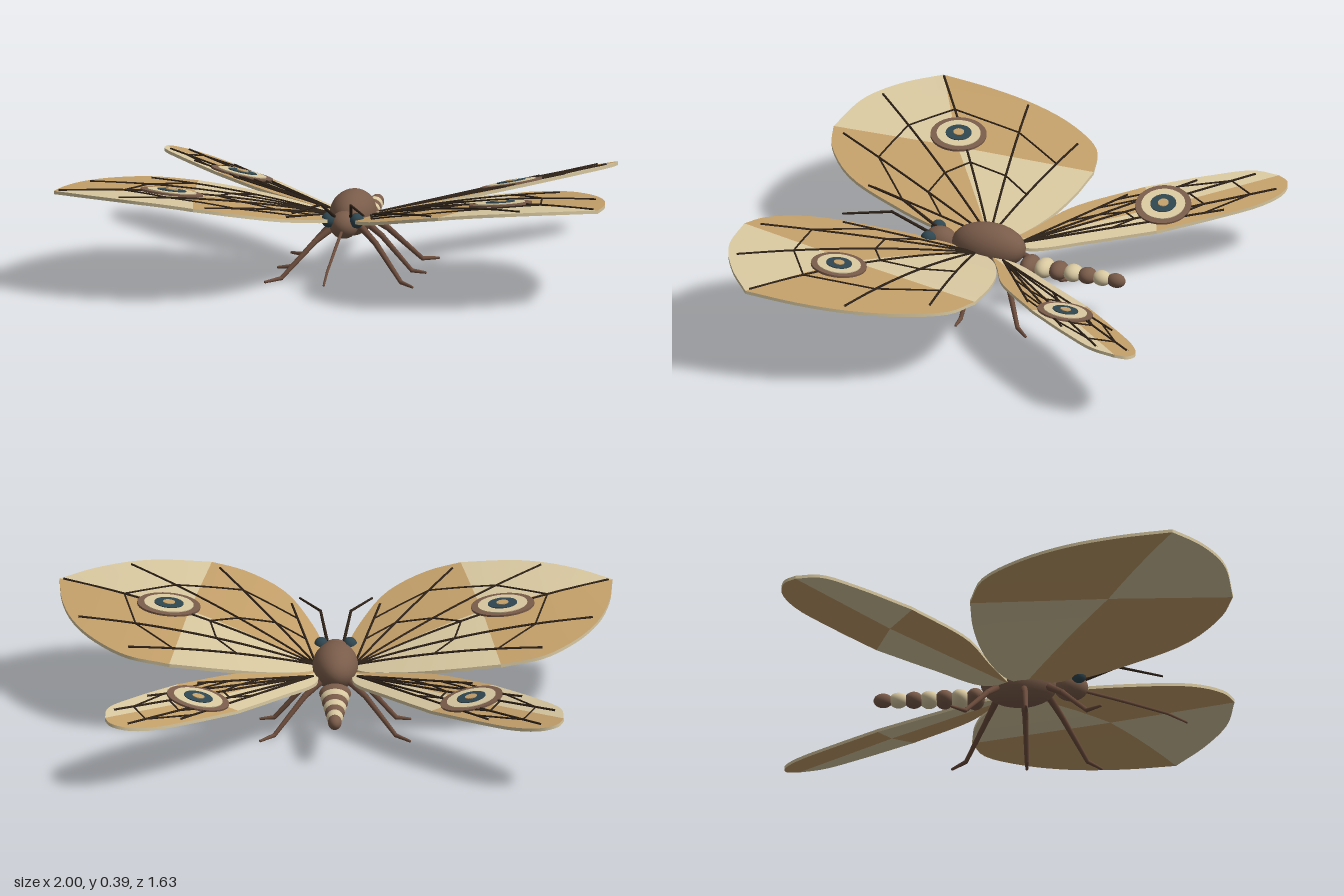
import * as THREE from 'three';

const mat = (color, side = THREE.FrontSide) => new THREE.MeshStandardMaterial({ color, side });
const V = (x, y, z) => new THREE.Vector3(x, y, z);

export function createModel() {
  const model = new THREE.Group();
  const brown = mat(0x7a5c4a), cream = mat(0xd8c8a0), dark = mat(0x2e2218), blue = mat(0x2f4650);
  const legBrown = mat(0x6b4c3c), tan = mat(0xc4a06a);
  const wingTan = mat(0xc4a06a, THREE.DoubleSide), wingCream = mat(0xd8c8a0, THREE.DoubleSide);

  const add = (parent, name, geometry, material) => {
    const mesh = new THREE.Mesh(geometry, material);
    mesh.name = name;
    parent.add(mesh);
    return mesh;
  };
  const ball = (parent, name, material, pos, size) => {
    const mesh = add(parent, name, new THREE.SphereGeometry(1, 24, 16), material);
    mesh.position.set(...pos);
    mesh.scale.set(...size);
    return mesh;
  };
  // Tapered rods joined by small balls
  const limb = (name, points, radii, material) => {
    const group = new THREE.Group();
    group.name = name;
    model.add(group);
    for (let i = 0; i < points.length - 1; i++) {
      const a = V(...points[i]), b = V(...points[i + 1]), d = b.clone().sub(a);
      const rod = add(group, 'segment', new THREE.CylinderGeometry(radii[i + 1], radii[i], d.length(), 8), material);
      rod.position.copy(a).add(b).multiplyScalar(0.5);
      rod.quaternion.setFromUnitVectors(V(0, 1, 0), d.normalize());
      const r = radii[i + 1];
      ball(group, 'joint', material, points[i + 1], [r, r, r]);
    }
  };
  // Surface from rows of points
  const grid = (rows, flip) => {
    const n = rows[0].length, index = [];
    for (let i = 0; i < rows.length - 1; i++) for (let j = 0; j < n - 1; j++) {
      const a = i * n + j, b = a + 1, c = a + n, d = c + 1;
      index.push(...(flip ? [a, b, c, b, d, c] : [a, c, b, b, c, d]));
    }
    const g = new THREE.BufferGeometry().setFromPoints(rows.flat());
    g.setIndex(index);
    g.computeVertexNormals();
    return g;
  };

  // Body
  ball(model, 'thorax', brown, [0, 0.215, 0.035], [0.083, 0.083, 0.14]);
  ball(model, 'head', brown, [0, 0.205, 0.222], [0.052, 0.05, 0.062]);
  for (let i = 0; i < 7; i++) {
    const r = 0.058 - i * 0.0055;
    ball(model, 'abdomenSegment', i % 2 ? cream : brown, [0, 0.16 - i * 0.001, -0.125 - i * 0.0555],
      [r, 0.036 - i * 0.0015, 0.035]);
  }
  limb('proboscis', [[0, 0.19, 0.27], [0, 0.15, 0.41], [0, 0.1, 0.57], [0, 0.065, 0.64]],
    [0.006, 0.006, 0.005, 0.004], legBrown);

  // Eyes, antennae and legs on both sides
  for (const s of [1, -1]) {
    ball(model, 'eye', blue, [s * 0.052, 0.228, 0.25], [0.026, 0.028, 0.028]);
    limb('antenna', [[s * 0.03, 0.24, 0.25], [s * 0.055, 0.312, 0.39], [s * 0.13, 0.31, 0.55]],
      [0.006, 0.005, 0.004], dark);
    for (const [hip, knee, foot, toe] of [[0.14, 0.19, 0.28, 0.33], [0.05, 0.056, 0.06, 0.06], [-0.04, -0.08, -0.16, -0.21]])
      limb('leg', [[s * 0.04, 0.19, hip], [s * 0.11, 0.135, knee], [s * 0.22, 0.012, foot], [s * 0.27, 0.006, toe]],
        [0.014, 0.011, 0.008, 0.005], legBrown);
  }

  // Wings: outline in four quarters around a centre, with a height rule
  const wings = [
    {
      name: 'frontWing', center: [0.53, 0.36], root: [0.07, 0.06], spot: [0.604, 0.385],
      height: (x, z) => 0.185 + 0.25 * x + 0.13 * z - 0.124 * x * x - 0.032 * x * z,
      quarters: [
        [[0.05, 0.05], [0.11, -0.02], [0.25, -0.09], [0.43, -0.13], [0.6, -0.14]],
        [[0.6, -0.14], [0.75, -0.095], [0.87, 0.04], [0.95, 0.21], [0.99, 0.4], [1, 0.595]],
        [[1, 0.595], [0.86, 0.7], [0.685, 0.78], [0.45, 0.81]],
        [[0.45, 0.81], [0.33, 0.77], [0.19, 0.65], [0.1, 0.45], [0.045, 0.24], [0.05, 0.05]],
      ],
      veins: [[0.75, -0.02], [0.93, 0.24], [0.985, 0.588], [0.74, 0.73], [0.42, 0.76], [0.16, 0.54]],
      bars: [0.42, 0.76],
    },
    {
      name: 'hindWing', center: [0.47, -0.43], root: [0.08, -0.05], spot: [0.495, -0.45],
      height: (x, z) => 0.19 + 0.2 * x + 0.115 * z,
      quarters: [
        [[0.06, 0], [0.07, -0.1], [0.19, -0.27], [0.35, -0.48]],
        [[0.35, -0.48], [0.51, -0.64], [0.66, -0.775], [0.755, -0.82], [0.81, -0.81], [0.83, -0.77]],
        [[0.83, -0.77], [0.82, -0.68], [0.73, -0.545], [0.57, -0.35]],
        [[0.57, -0.35], [0.35, -0.15], [0.19, -0.07], [0.06, 0]],
      ],
      veins: [[0.56, -0.66], [0.75, -0.79], [0.8, -0.69], [0.68, -0.51], [0.5, -0.31]],
      bars: [0.45, 0.72, 0.9],
    },
  ];
  const thick = 0.012;

  for (const w of wings) for (const s of [1, -1]) {
    const group = new THREE.Group();
    group.name = w.name;
    model.add(group);
    const at = (x, z, lift = 0) => V(s * x, w.height(x, z) + lift, z);
    const mix = (a, b, t) => [a[0] + (b[0] - a[0]) * t, a[1] + (b[1] - a[1]) * t];

    // Two-tone panels and rim
    w.quarters.forEach((pts, q) => {
      const edge = new THREE.CatmullRomCurve3(pts.map(([x, z]) => V(x, 0, z))).getPoints(20).map(p => [p.x, p.z]);
      const sheet = lift => [0, 0.2, 0.4, 0.6, 0.8, 1].map(t => edge.map(e => at(...mix(w.center, e, t), lift)));
      const material = q % 2 ? wingTan : wingCream;
      add(group, 'wingTop', grid(sheet(0), s > 0), material);
      add(group, 'wingUnderside', grid(sheet(-thick), s < 0), material);
      add(group, 'wingRim', grid([edge.map(e => at(...e)), edge.map(e => at(...e, -thick))], s > 0), wingCream);
    });

    // Veins
    const vein = (pts, r) => add(group, 'vein',
      new THREE.TubeGeometry(new THREE.CatmullRomCurve3(pts), 16, r, 5), dark);
    for (const end of w.veins)
      vein([0, 0.25, 0.5, 0.75, 1].map(t => at(...mix(w.root, end, t), 0.002)), 0.0045);
    for (const bar of w.bars) for (let i = 0; i < w.veins.length - 1; i++) {
      const a = mix(w.root, w.veins[i], bar), b = mix(w.root, w.veins[i + 1], bar);
      vein([0, 0.5, 1].map(t => at(...mix(a, b, t), 0.002)), 0.0035);
    }

    // Eyespot of stacked discs lying on the wing
    const spot = new THREE.Group(), [sx, sz] = w.spot, h = 0.01;
    spot.name = 'eyespot';
    spot.position.copy(at(sx, sz, 0.003));
    const slopeX = (w.height(sx + h, sz) - w.height(sx, sz)) / h;
    const slopeZ = (w.height(sx, sz + h) - w.height(sx, sz)) / h;
    spot.quaternion.setFromUnitVectors(V(0, 1, 0), V(-s * slopeX, 1, -slopeZ).normalize());
    group.add(spot);
    [[0.115, brown], [0.09, cream], [0.053, blue], [0.022, tan]].forEach(([r, m], i) => {
      const disc = add(spot, 'spotRing', new THREE.CylinderGeometry(r, r, 0.008, 32), m);
      disc.position.y = 0.003 * i;
      disc.scale.z = 0.87;
    });
  }
  return model;
}
